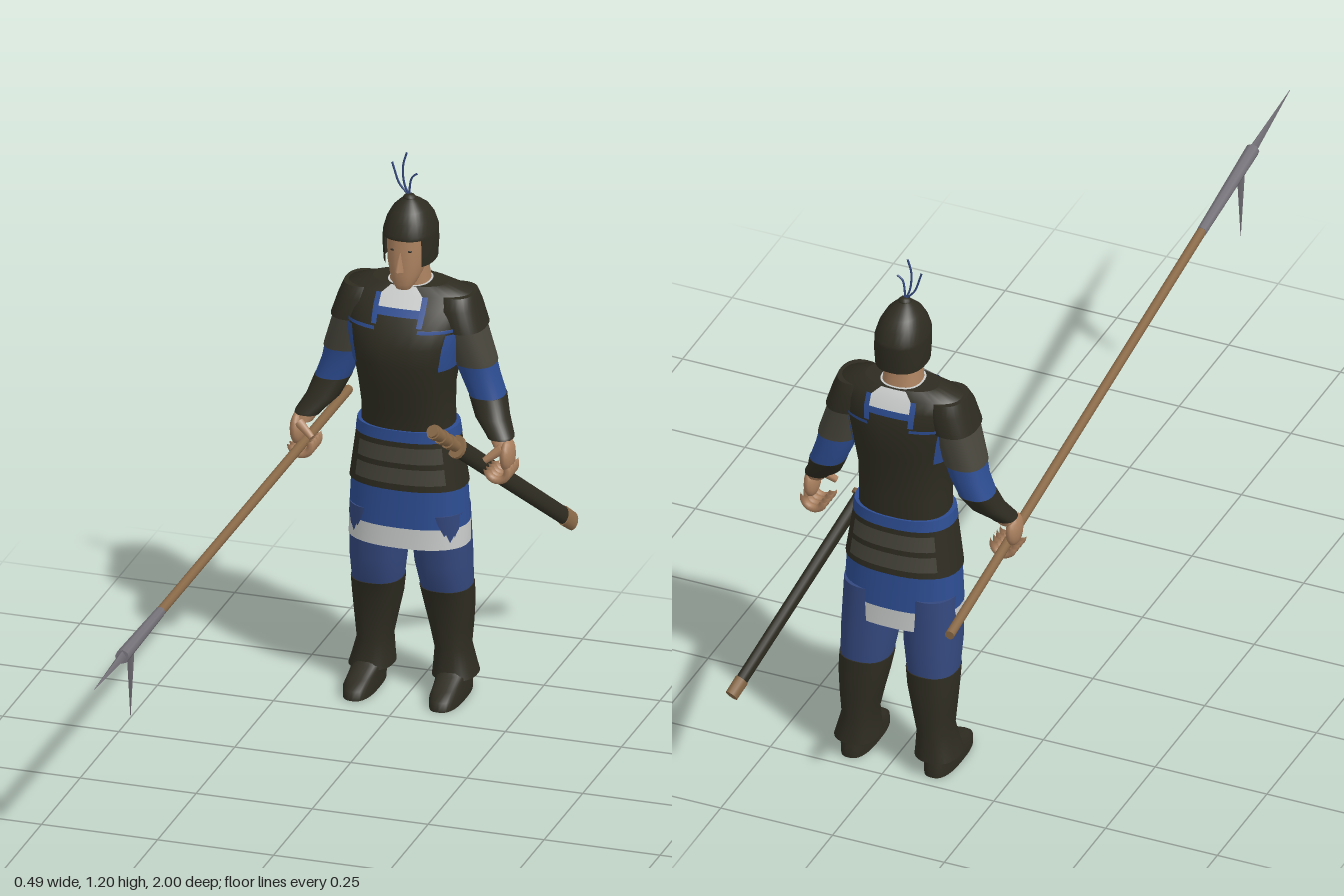
import * as THREE from 'three';

const mat = (name, color, double) => {
  const m = new THREE.MeshStandardMaterial({ color });
  m.name = name;
  if (double) m.side = THREE.DoubleSide;
  return m;
};
const M = {
  armour: mat('dark armour', 0x2e2c21, true),
  mail: mat('mail', 0x47453b, true),
  blue: mat('blue cloth', 0x2d4d92, true),
  trouser: mat('trouser blue', 0x34487e),
  white: mat('white cloth', 0xc9cccb, true),
  skin: mat('skin', 0xab815f),
  wood: mat('wood', 0x8a6a48),
  steel: mat('steel', 0x76737a),
};
const CX = -0.005; // middle of the figure

// Profiles: rows of [y, x, z, half width, half depth]
const TORSO = [[0.6, 0, -0.642, 0.098, 0.071], [0.65, 0, -0.64, 0.097, 0.076], [0.7, 0, -0.633, 0.1, 0.084],
  [0.76, 0, -0.633, 0.11, 0.094], [0.8, 0, -0.635, 0.118, 0.096], [0.84, 0, -0.643, 0.128, 0.089],
  [0.875, 0, -0.652, 0.134, 0.074], [0.9, 0, -0.656, 0.132, 0.058], [0.915, 0, -0.656, 0.08, 0.045]];
const SKIRT = [[0.345, 0, -0.648, 0.128, 0.078], [0.39, 0, -0.648, 0.127, 0.078],
  [0.475, 0, -0.646, 0.122, 0.077], [0.53, 0, -0.644, 0.114, 0.075], [0.6, 0, -0.642, 0.104, 0.072]];
const LEG = [[0.04, 0.09, -0.676, 0.045, 0.053], [0.06, 0.088, -0.677, 0.041, 0.05], [0.1, 0.084, -0.678, 0.034, 0.046],
  [0.15, 0.081, -0.677, 0.042, 0.049], [0.2, 0.077, -0.674, 0.05, 0.051], [0.24, 0.074, -0.667, 0.053, 0.056],
  [0.3, 0.07, -0.658, 0.058, 0.066], [0.42, 0.064, -0.65, 0.06, 0.07]];
const FOOT = [[0, 0.093, -0.635, 0.032, 0.087], [0.02, 0.093, -0.636, 0.033, 0.086],
  [0.035, 0.092, -0.645, 0.03, 0.072], [0.05, 0.09, -0.668, 0.032, 0.048], [0.07, 0.088, -0.675, 0.03, 0.042]];
const ARM = [[0.59, 0.214, -0.606, 0.022, 0.024], [0.61, 0.206, -0.615, 0.027, 0.027], [0.64, 0.182, -0.637, 0.034, 0.034],
  [0.68, 0.166, -0.655, 0.037, 0.04], [0.72, 0.15, -0.657, 0.039, 0.042], [0.76, 0.138, -0.654, 0.042, 0.046],
  [0.83, 0.118, -0.65, 0.04, 0.056], [0.875, 0.105, -0.652, 0.038, 0.054], [0.9, 0.1, -0.655, 0.033, 0.042]];
const HEAD = [[0.912, 0, -0.607, 0.015, 0.014], [0.925, 0, -0.62, 0.025, 0.034], [0.945, 0, -0.634, 0.034, 0.048],
  [0.97, 0, -0.642, 0.04, 0.057], [1.0, 0, -0.648, 0.043, 0.061], [1.04, 0, -0.65, 0.043, 0.06]];
const NECK = [[0.87, 0, -0.66, 0.05, 0.045], [0.91, 0, -0.654, 0.042, 0.042], [0.96, 0, -0.65, 0.036, 0.04]];
const HELMET = [[0.962, 0, -0.655, 0.053, 0.063], [1.0, 0, -0.655, 0.055, 0.067], [1.03, 0, -0.654, 0.054, 0.068],
  [1.055, 0, -0.653, 0.047, 0.058], [1.075, 0, -0.651, 0.036, 0.044], [1.09, 0, -0.648, 0.021, 0.025], [1.097, 0, -0.646, 0.012, 0.013]];

function sample(profile, y) {
  let i = 0;
  while (i < profile.length - 2 && y > profile[i + 1][0]) i++;
  const [p, q] = [profile[i], profile[i + 1]];
  const t = (y - p[0]) / (q[0] - p[0]);
  return p.map((v, k) => v + (q[k] - v) * t);
}

// Skin over part of a profile: y range, angle range (0 = front, +x next), outward offset
function shell(profile, o = {}) {
  const { y0 = profile[0][0], y1 = profile.at(-1)[0], a0 = 0, a1 = Math.PI * 2, off = 0, side = 1, e = 0.85 } = o;
  const n = Math.max(4, Math.round((a1 - a0) * 5));
  const full = a1 - a0 > 6.28;
  const rows = [sample(profile, y0), ...profile.filter(r => r[0] > y0 + 1e-4 && r[0] < y1 - 1e-4), sample(profile, y1)];
  const pos = [], idx = [], cols = full ? n : n + 1;
  const pw = v => Math.sign(v) * Math.abs(v) ** e;
  const ring = ([y, x, z, rx, rz]) => {
    for (let i = 0; i < cols; i++) {
      const a = a0 + (a1 - a0) * i / n;
      pos.push(CX + side * x + (rx + off) * pw(Math.sin(a)), y, z + (rz + off) * pw(Math.cos(a)));
    }
  };
  rows.forEach(ring);
  for (let r = 0; r < rows.length - 1; r++) for (let i = 0; i < n; i++) {
    const a = r * cols + i, b = r * cols + (i + 1) % cols;
    idx.push(a, b, b + cols, a, b + cols, a + cols);
  }
  // Flat end caps
  if (full) for (const top of [false, true]) {
    const row = top ? rows.at(-1) : rows[0], s = pos.length / 3;
    ring(row);
    pos.push(CX + side * row[1], row[0], row[2]);
    for (let i = 0; i < n; i++) {
      const j = (i + 1) % n;
      idx.push(s + n, s + (top ? i : j), s + (top ? j : i));
    }
  }
  const g = new THREE.BufferGeometry();
  g.setAttribute('position', new THREE.Float32BufferAttribute(pos, 3));
  g.setIndex(idx);
  g.computeVertexNormals();
  return g;
}

// Tapered rod between two points, optionally flattened
function rod(a, b, ra, rb, sides = 12, flatX = 1, flatZ = 1) {
  const d = b.clone().sub(a), g = new THREE.CylinderGeometry(rb, ra, d.length(), sides);
  g.scale(flatX, 1, flatZ);
  g.applyQuaternion(new THREE.Quaternion().setFromUnitVectors(new THREE.Vector3(0, 1, 0), d.clone().normalize()));
  const c = a.clone().lerp(b, 0.5);
  return g.translate(c.x, c.y, c.z);
}
const V = (x, y, z) => new THREE.Vector3(x, y, z);

export function createModel() {
  const model = new THREE.Group();
  const add = (name, geo, material) => {
    const m = new THREE.Mesh(geo, material);
    m.name = name;
    model.add(m);
    return m;
  };

  // Torso, belt and skirt
  add('cuirass', shell(TORSO), M.armour);
  add('belt', shell(SKIRT, { y0: 0.583, y1: 0.608, off: 0.004 }), M.blue);
  add('armourSkirt', shell(SKIRT, { y0: 0.475, y1: 0.585, off: 0.003 }), M.armour);
  add('tunicSkirt', shell(SKIRT, { y0: 0.39, y1: 0.478 }), M.blue);
  add('tunicHem', shell(SKIRT, { y0: 0.345, y1: 0.39 }), M.white);

  // Painted details, repeated on front and back
  for (const back of [0, Math.PI]) {
    const patch = (name, m, p, y0, y1, a0, a1, off) =>
      add(name, shell(p, { y0, y1, a0: back + a0, a1: back + a1, off }), m);
    patch('scarf', M.white, TORSO, 0.877, 0.915, -0.27, 0.27, 0.004);
    patch('scarfTrim', M.blue, TORSO, 0.862, 0.879, -0.3, 0.3, 0.003);
    for (const [y0, y1] of [[0.49, 0.525], [0.537, 0.572]])
      patch('mailRow', M.mail, SKIRT, y0, y1, -0.85, 0.85, 0.005);
    for (const s of [-1, 1]) {
      const pair = (name, y0, y1, a, b) =>
        patch(name, M.blue, TORSO, y0, y1, Math.min(s * a, s * b), Math.max(s * a, s * b), 0.003);
      pair('neckTrim', 0.845, 0.9, 0.27, 0.36);
      pair('chestTrim', 0.834, 0.841, 0.3, 1.2);
      pair('armpitCloth', 0.75, 0.83, 0.85, 1.5);
    }
  }

  // Limbs
  for (const side of [-1, 1]) {
    const n = side > 0 ? 'left' : 'right';
    add(n + 'Trouser', shell(LEG, { y0: 0.23, side }), M.trouser);
    add(n + 'Boot', shell(LEG, { y1: 0.24, off: 0.002, side }), M.armour);
    add(n + 'Foot', shell(FOOT, { side, e: 0.75 }), M.armour);
    add(n + 'Bracer', shell(ARM, { y0: 0.605, y1: 0.68, off: 0.001, side }), M.armour);
    add(n + 'Sleeve', shell(ARM, { y0: 0.68, y1: 0.752, side }), M.blue);
    add(n + 'MailSleeve', shell(ARM, { y0: 0.75, y1: 0.84, off: 0.002, side }), M.mail);
    add(n + 'ShoulderPlate', shell(ARM, { y0: 0.83, off: 0.007, side }), M.armour);
    add(n + 'Wrist', shell(ARM, { y0: 0.59, y1: 0.62, off: -0.003, side }), M.skin);
    // Hand with curled fingers and thumb
    const palm = new THREE.SphereGeometry(1, 14, 10).scale(0.015, 0.036, 0.031);
    add(n + 'Palm', palm.translate(CX + side * 0.226, 0.572, -0.602), M.skin);
    for (let i = 0; i < 4; i++) {
      const f = new THREE.TorusGeometry(0.022, 0.0085, 8, 12, 3.6);
      f.rotateZ(side > 0 ? -3.2 : -0.4 + Math.PI - 3.14 - 0.0);
      if (side < 0) f.rotateZ(-2.74);
      add(n + 'Finger', f.translate(CX + side * 0.212, 0.544, -0.628 + i * 0.0165), M.skin);
    }
    add(n + 'Thumb', rod(V(CX + side * 0.218, 0.59, -0.585), V(CX + side * 0.186, 0.565, -0.572), 0.011, 0.007, 8), M.skin);
  }

  // Head and helmet
  add('neck', shell(NECK), M.skin);
  add('collar', shell(NECK, { y0: 0.895, y1: 0.916, off: 0.004 }), M.white);
  add('face', shell(HEAD), M.skin);
  const nose = new THREE.ConeGeometry(0.011, 0.042, 4).scale(0.9, 1, 1.3);
  add('nose', nose.rotateX(-0.2).translate(CX, 0.978, -0.583), M.skin);
  for (const s of [-1, 1])
    add('eye', new THREE.SphereGeometry(0.005, 8, 6).scale(1.4, 0.5, 0.6).translate(CX + s * 0.017, 1.0, -0.592), M.armour);
  add('helmetDome', shell(HELMET, { y0: 1.022 }), M.armour);
  add('helmetCheeks', shell(HELMET, { y1: 1.023, a0: 0.75, a1: Math.PI * 2 - 0.75 }), M.armour);
  add('helmetKnob', new THREE.SphereGeometry(0.014, 12, 8).scale(1, 0.7, 1).translate(CX, 1.096, -0.646), M.armour);
  for (const [x, y, bend] of [[-0.042, 1.172, -0.036], [-0.01, 1.198, -0.018], [0.013, 1.153, 0.002]]) {
    const curve = new THREE.CatmullRomCurve3([V(CX, 1.1, -0.646), V(bend * 0.6 + CX, 1.125, -0.645), V(bend, (1.115 + y) / 2 + 0.01, -0.643), V(x, y, -0.644)]);
    add('plume', new THREE.TubeGeometry(curve, 12, 0.0022, 6), M.trouser);
  }

  // Polearm with a hooked steel head
  const tail = V(-0.235, 0.515, -0.94), tip = V(-0.137, 0.66, 1.0);
  const on = t => tail.clone().lerp(tip, t);
  add('spearShaft', rod(on(0), on(0.76), 0.01, 0.01), M.wood);
  add('spearSocket', rod(on(0.74), on(0.89), 0.011, 0.015, 8), M.steel);
  add('spearPoint', rod(on(0.89), on(1), 0.012, 0.0008, 4, 0.8, 1), M.steel);
  const h = on(0.857);
  add('spearHook', rod(V(h.x - 0.003, 0.48, 0.713), V(h.x, h.y, 0.722), 0.001, 0.022, 4, 0.4, 1), M.steel);

  // Sword in its scabbard at the left hip
  const pommel = V(0.082, 0.635, -0.53), end = V(0.234, 0.268, -0.982);
  const at = t => end.clone().lerp(pommel, t);
  add('scabbard', rod(at(0.06), at(0.82), 0.019, 0.021, 14, 0.65, 1), M.armour);
  add('scabbardCap', rod(at(0), at(0.065), 0.02, 0.021, 14, 0.68, 1), M.wood);
  add('swordGuard', rod(at(0.815), at(0.83), 0.025, 0.025, 14, 0.8, 1), M.wood);
  add('swordGrip', rod(at(0.83), at(1), 0.012, 0.013), M.wood);
  for (const t of [0.87, 0.92, 0.97]) add('gripRing', rod(at(t), at(t + 0.02), 0.016, 0.016), M.wood);
  return model;
}
